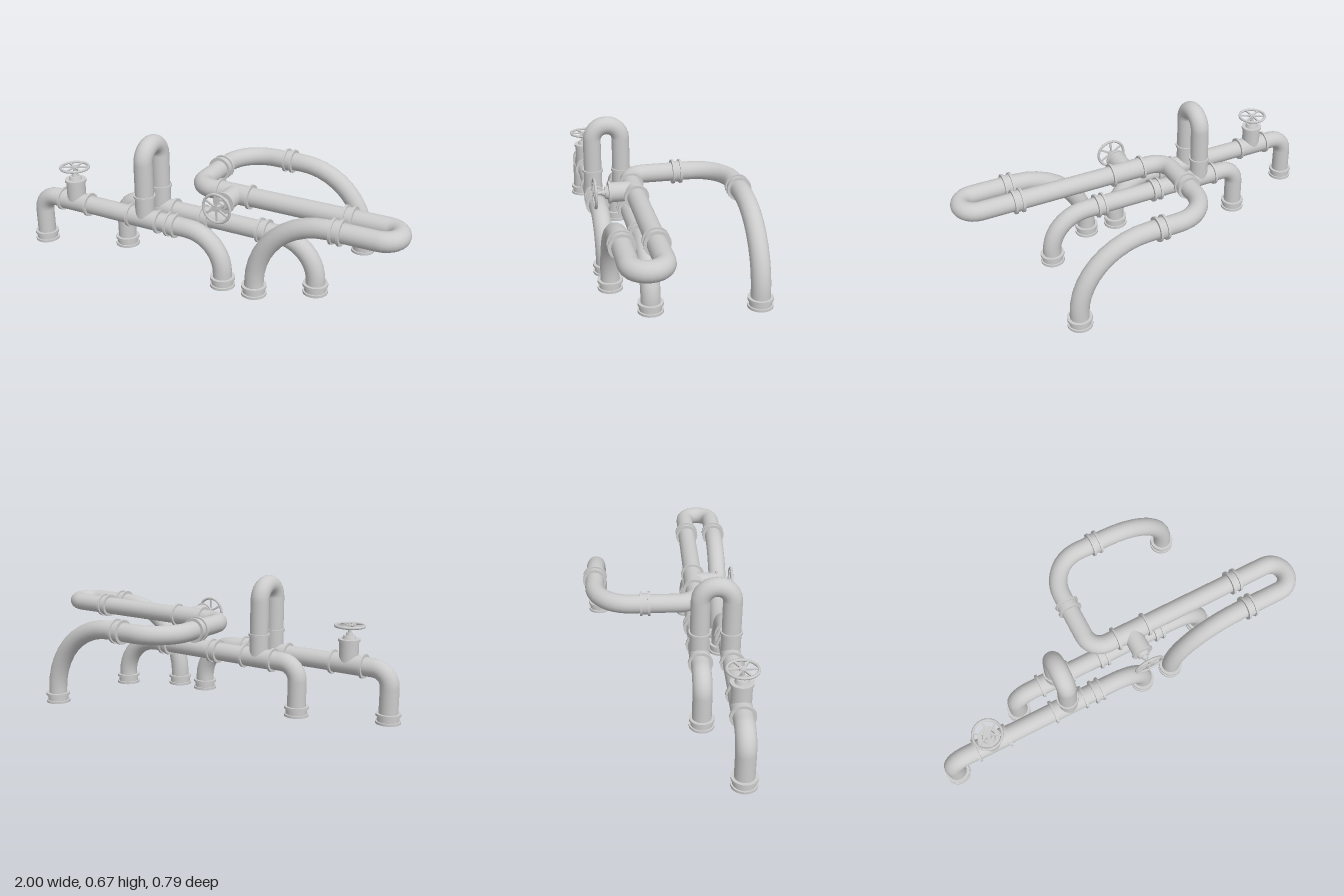
import * as THREE from 'three';

const R = 0.0465;          // pipe radius
const SIDES = 20;
const LOW = 0.26, HIGH = 0.422;            // pipe heights
const FRONT = 0.32, MID = 0.17, BACK = -0.335; // pipe rows in z
const Y = new THREE.Vector3(0, 1, 0);
const V = (x, y, z) => new THREE.Vector3(x, y, z);
const material = new THREE.MeshStandardMaterial({ color: 0xcccccc, side: THREE.DoubleSide });

// Quarter bend around a corner, from direction a into direction b
class Bend extends THREE.Curve {
  constructor(corner, a, b, r) {
    super();
    Object.assign(this, { corner, a, b, r });
  }
  getPoint(t, target = new THREE.Vector3()) {
    const q = t * Math.PI / 2;
    return target.copy(this.corner)
      .addScaledVector(this.a, this.r * (Math.sin(q) - 1))
      .addScaledVector(this.b, this.r * (1 - Math.cos(q)));
  }
}

function add(parent, name, geometry) {
  const mesh = new THREE.Mesh(geometry, material);
  mesh.name = name;
  parent.add(mesh);
  return mesh;
}

// Cylinder along local y, from y0 to y1
function drum(parent, name, r, y0, y1, rTop = r) {
  const mesh = add(parent, name, new THREE.CylinderGeometry(rTop, r, y1 - y0, SIDES));
  mesh.position.y = (y0 + y1) / 2;
  return mesh;
}

// Group whose local y points along dir
function oriented(parent, name, position, dir) {
  const g = new THREE.Group();
  g.name = name;
  g.position.copy(position);
  g.quaternion.setFromUnitVectors(Y, dir);
  parent.add(g);
  return g;
}

// Straight runs joined by quarter bends; radii holds one radius per inner corner
function pipe(parent, name, points, radii) {
  const g = new THREE.Group();
  g.name = name;
  parent.add(g);
  const dirs = points.slice(1).map((p, i) => p.clone().sub(points[i]).normalize());
  dirs.forEach((d, i) => {
    const start = points[i].clone().addScaledVector(d, i ? radii[i - 1] : 0);
    const end = points[i + 1].clone().addScaledVector(d, -(radii[i] ?? 0));
    const length = start.distanceTo(end);
    if (length > 0.002) {
      const run = add(g, 'straightPipe', new THREE.CylinderGeometry(R, R, length, SIDES, 1, true));
      run.position.copy(start).lerp(end, 0.5);
      run.quaternion.setFromUnitVectors(Y, d);
    }
    if (i < radii.length) {
      const bend = new Bend(points[i + 1], d, dirs[i + 1], radii[i]);
      add(g, 'elbow', new THREE.TubeGeometry(bend, radii[i] > 0.12 ? 10 : 6, R, SIDES));
    }
  });
}

// Sleeve with a raised rim at each end, centred on position
function coupling(parent, name, position, dir) {
  const g = oriented(parent, name, position, dir);
  drum(g, 'sleeve', 0.053, -0.024, 0.024);
  drum(g, 'rim', 0.061, -0.025, -0.013);
  drum(g, 'rim', 0.061, 0.013, 0.025);
}

// Tee along x with a branch pointing along dir
function tee(parent, position, dir) {
  const body = oriented(parent, 'teeBody', position, V(1, 0, 0));
  drum(body, 'sleeve', 0.05, -0.085, 0.085);
  for (const s of [-1, 1]) drum(body, 'rim', 0.06, s * 0.082 - 0.006, s * 0.082 + 0.006);
  const branch = oriented(parent, 'teeBranch', position, dir);
  drum(branch, 'sleeve', 0.048, 0, 0.122);
  drum(branch, 'rim', 0.054, 0.114, 0.126);
}

// Tee with a bonnet, stem and spoked handwheel
function valve(parent, position, dir) {
  const g = new THREE.Group();
  g.name = 'valve';
  parent.add(g);
  tee(g, position, dir);
  const top = oriented(g, 'valveTop', position, dir);
  drum(top, 'bonnet', 0.034, 0.126, 0.143, 0.028);
  drum(top, 'gland', 0.018, 0.143, 0.158, 0.014);
  drum(top, 'stem', 0.009, 0.158, 0.198);
  drum(top, 'hub', 0.017, 0.184, 0.196);
  const rim = add(top, 'handwheel', new THREE.TorusGeometry(0.07, 0.007, 8, 28));
  rim.rotation.x = Math.PI / 2;
  rim.position.y = 0.19;
  for (let i = 0; i < 6; i++) {
    const a = i * Math.PI / 3 + Math.PI / 6;
    const spoke = add(top, 'spoke', new THREE.BoxGeometry(0.06, 0.007, 0.009));
    spoke.position.set(Math.cos(a) * 0.04, 0.19, Math.sin(a) * 0.04);
    spoke.rotation.y = -a;
  }
}

export function createModel() {
  const model = new THREE.Group();
  model.name = 'pipework';
  const X = V(1, 0, 0), Z = V(0, 0, 1);

  // Two low pipe runs
  pipe(model, 'frontLowPipe', [
    V(-0.94, 0.01, FRONT), V(-0.94, LOW, FRONT), V(0.125, LOW, FRONT), V(0.125, 0.01, FRONT),
  ], [0.085, 0.19]);
  pipe(model, 'middleLowPipe', [
    V(-0.525, 0.01, MID), V(-0.525, LOW, MID), V(0.545, LOW, MID), V(0.545, 0.01, MID),
  ], [0.085, 0.2]);

  // Upright loop linking the low runs
  pipe(model, 'uprightLoop', [
    V(-0.305, LOW, FRONT), V(-0.305, 0.623, FRONT), V(-0.305, 0.623, MID), V(-0.305, LOW, MID),
  ], [0.075, 0.075]);
  for (const z of [FRONT, MID]) tee(model, V(-0.305, LOW, z), Y);

  // High run: front foot, hairpin, back through the middle row to the rear foot
  pipe(model, 'highPipe', [
    V(0.294, 0.01, FRONT), V(0.294, HIGH, FRONT), V(0.953, HIGH, FRONT), V(0.953, HIGH, MID),
    V(-0.097, HIGH, MID), V(-0.097, HIGH, BACK), V(0.6, HIGH, BACK), V(0.6, 0.01, BACK),
  ], [0.36, 0.075, 0.075, 0.085, 0.18, 0.36]);

  // Couplings along the runs
  coupling(model, 'coupling', V(-0.147, LOW, FRONT), X);
  for (const x of [-0.043, 0.27]) coupling(model, 'coupling', V(x, LOW, MID), X);
  for (const z of [FRONT, MID]) coupling(model, 'coupling', V(0.695, HIGH, z), X);
  coupling(model, 'coupling', V(-0.097, HIGH, -0.083), Z);
  coupling(model, 'coupling', V(0.175, HIGH, BACK), X);

  // Feet
  const feet = [[-0.94, FRONT], [0.125, FRONT], [0.294, FRONT], [-0.525, MID], [0.545, MID], [0.6, BACK]];
  for (const [x, z] of feet) coupling(model, 'foot', V(x, 0.025, z), Y);

  // Valves
  valve(model, V(-0.722, LOW, FRONT), Y);
  valve(model, V(0.117, HIGH, MID), Z);
  return model;
}
